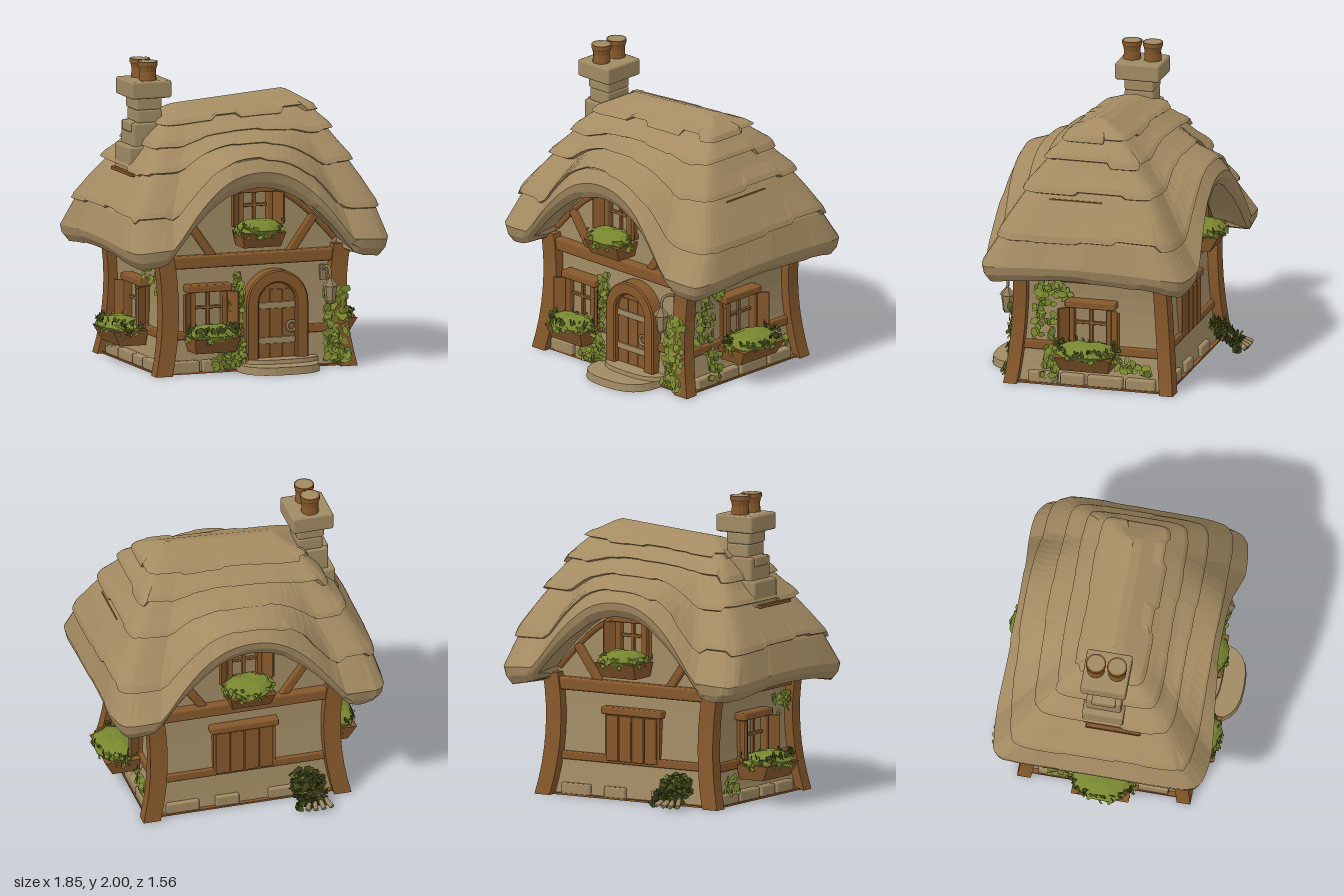
import * as THREE from 'three';
import { mergeGeometries } from 'three/addons/utils/BufferGeometryUtils.js';
import { RoundedBoxGeometry } from 'three/addons/geometries/RoundedBoxGeometry.js';

const material = (name, color, double) => {
  const m = new THREE.MeshStandardMaterial({ color });
  m.name = name;
  if (double) m.side = THREE.DoubleSide;
  return m;
};

export function createModel() {
  const M = {
    thatch: material('thatch', 0xa48b62, true), plaster: material('plaster', 0xa18b64),
    timber: material('timber', 0x86582b), stone: material('stone', 0xa08a63),
    leaf: material('leaf', 0x78862f, true), darkLeaf: material('darkLeaf', 0x464d1b, true),
    glass: material('glass', 0x9c8660), iron: material('iron', 0x8f7c5a),
  };
  const house = new THREE.Group();
  house.name = 'cottage';

  let seed = 11;
  const rnd = () => {
    seed = (seed * 1664525 + 1013904223) % 4294967296;
    return seed / 4294967296;
  };
  const span = (a, b) => a + (b - a) * rnd();
  const flat = (g) => {
    const f = g.index ? g.toNonIndexed() : g;
    f.computeVertexNormals();
    return f;
  };
  const add = (parent, name, geo, mat, x = 0, y = 0, z = 0) => {
    const m = new THREE.Mesh(geo, mat);
    m.name = name;
    m.position.set(x, y, z);
    parent.add(m);
    return m;
  };
  const box = (parent, name, w, h, d, mat, x, y, z) => add(parent, name, new THREE.BoxGeometry(w, h, d), mat, x, y, z);
  const block = (parent, name, w, h, d, mat, x, y, z) =>
    add(parent, name, new RoundedBoxGeometry(w, h, d, 1, Math.min(w, h, d) * 0.2), mat, x, y, z);
  const beam = (parent, name, w, h, d, x, y, z) => block(parent, name, w, h, d, M.timber, x, y, z);
  const warp = (g, rule) => {
    const p = g.attributes.position, v = new THREE.Vector3();
    for (let i = 0; i < p.count; i++) {
      rule(v.fromBufferAttribute(p, i));
      p.setXYZ(i, v.x, v.y, v.z);
    }
    return flat(g);
  };
  const foliage = (parent, name, mat, n, size, place) => {
    const leaves = [];
    for (let i = 0; i < n; i++) {
      const g = new THREE.CircleGeometry(size * span(0.7, 1.2), 5);
      g.scale(1, 0.75, 1).rotateZ(rnd() * 6).rotateX(span(-0.8, 0.3)).rotateY(span(-0.7, 0.6));
      leaves.push(g.translate(...place()));
    }
    return add(parent, name, mergeGeometries(leaves), mat);
  };

  // Flared walls and corner posts
  const flareX = (y) => 0.585 + 0.06 * ((y - 0.46) / 0.46) ** 2;
  const flareZ = (y) => 0.455 + 0.055 * (Math.max(0, 0.78 - y) / 0.78) ** 1.8;
  add(house, 'walls', warp(new THREE.BoxGeometry(2, 0.8, 2, 1, 8, 1), (v) => {
    v.y += 0.41;
    v.x *= flareX(v.y) - 0.005;
    v.z *= flareZ(v.y) - 0.005;
  }), M.plaster);
  box(house, 'basePlate', 1.34, 0.012, 1.06, M.timber, 0, 0.008, 0);
  for (const sx of [-1, 1]) for (const sz of [-1, 1]) {
    add(house, 'cornerPost', warp(new THREE.BoxGeometry(0.115, 0.8, 0.09, 1, 8, 1), (v) => {
      v.y += 0.4;
      v.x += sx * flareX(v.y);
      v.z += sz * (flareZ(v.y) + 0.017);
    }), M.timber);
  }

  // Arched gable wall running through the house
  const bell = (x) => Math.max(0, 1 - (x / 0.66) ** 2) ** 1.2;
  const gable = new THREE.Shape([new THREE.Vector2(-0.62, 0.7), new THREE.Vector2(0.62, 0.7)]);
  for (let i = 0; i <= 24; i++) {
    const x = 0.62 - (i / 24) * 1.24;
    gable.lineTo(x, 0.8 + 0.46 * bell(x));
  }
  add(house, 'gableWall', new THREE.ExtrudeGeometry(gable, { depth: 0.9, bevelEnabled: false }), M.plaster, 0, 0, -0.45);

  // Horizontal beams, braces, soffits and arch trim
  for (const s of [-1, 1]) {
    beam(house, 'crossBeam', 1.2, 0.085, 0.09, 0, 0.73, s * 0.46);
    beam(house, 'sideBeam', 0.07, 0.08, 0.9, s * 0.605, 0.735, 0);
    beam(house, 'sideSoffit', 0.15, 0.03, 0.92, s * 0.665, 0.79, 0);
    beam(house, 'sideRail', 0.05, 0.06, 0.94, s * 0.59, 0.25, 0);
    beam(house, 'roofBatten', 0.03, 0.022, 0.36, s * 0.738, 1.285, 0.07);
    for (const t of [-1, 1]) {
      beam(house, 'gableBrace', 0.055, 0.3, 0.06, t * 0.35, 0.87, s * 0.455).rotation.z = -t * 0.62;
    }
    const arch = [];
    for (let i = 0; i <= 14; i++) {
      const x = -0.58 + (i / 14) * 1.16;
      arch.push(new THREE.Vector3(x, 0.755 + 0.46 * bell(x), s * 0.455));
    }
    add(house, 'archTrim', new THREE.TubeGeometry(new THREE.CatmullRomCurve3(arch), 28, 0.02, 5), M.timber);
  }
  beam(house, 'frontRail', 0.55, 0.055, 0.05, -0.32, 0.25, 0.472);
  beam(house, 'frontRail', 0.25, 0.055, 0.05, 0.47, 0.25, 0.472);
  beam(house, 'backRail', 1.16, 0.055, 0.05, 0, 0.26, -0.472);

  // Thatched roof: rings on a rounded rectangle, lifted into an arch at front and back
  const P = { // half width, half depth, height; arch height and depth
    a: [0.89, 0.915, 0.86, 0.785, 0.71, 0.605, 0.52, 0.4], b: [0.68, 0.7, 0.58, 0.5, 0.43, 0.31, 0.2, 0.06],
    y: [0.78, 0.87, 1.05, 1.19, 1.32, 1.5, 1.63, 1.72],
    cy: [1.22, 1.32, 1.4, 1.44, 1.48, 1.55, 1.63, 1.72], cz: [0.63, 0.655, 0.6, 0.52, 0.43, 0.31, 0.2, 0.06],
  };
  const at = (k, s) => {
    const i = Math.min(6, Math.floor(s));
    return THREE.MathUtils.lerp(P[k][i], P[k][i + 1], s - i);
  };
  // The arch narrows and gets steeper sides towards the ridge
  const dormer = (x, s) => Math.max(0, 1 - Math.abs(x / (0.67 - 0.045 * s)) ** (2 + 0.25 * s)) ** 1.2;
  const side = 32, cols = side * 4;
  const square = (i) => {
    const t = ((i % side) / side) * 2 - 1;
    return [[t, 1], [1, -t], [-t, -1], [-1, t]][Math.floor(i / side) % 4];
  };
  const roofPoint = (i, s, push) => {
    const [p, q] = square(i), round = 1 - 0.065 * (p * q) ** 8;
    const x = (at('a', s) + push) * p * round;
    const w = dormer(x, s) * q * q, sag = 0.06 * p * p * q * q * Math.max(0, 1 - s / 3);
    const y = THREE.MathUtils.lerp(at('y', s) - sag, at('cy', s), w) + push * 0.4 + 0.07 * x * (s / 7) ** 2;
    const z = THREE.MathUtils.lerp((at('b', s) + push) * q * round, (at('cz', s) + push) * Math.sign(q), w);
    return [x + 0.03 * (s / 7) ** 2, y, z - (q < 0 ? 0.03 * (1 - s / 7) : 0)];
  };
  const clumps = (endScale) => { // ragged edge offsets, shared by a few neighbouring columns
    const out = [];
    while (out.length < cols) {
      const v = rnd(), end = Math.floor(out.length / side) % 2;
      const n = Math.round(span(3, 7) * (end ? endScale : 1));
      for (let k = 0; k < n; k++) out.push(v);
    }
    return out;
  };
  const loft = (name, rings) => {
    const pos = [], idx = [];
    for (const ring of rings) for (let i = 0; i < cols; i++) pos.push(...ring(i));
    for (let r = 0; r < rings.length - 1; r++) for (let i = 0; i < cols; i++) {
      const j = (i + 1) % cols, a = r * cols, b = a + cols;
      idx.push(a + i, a + j, b + j, a + i, b + j, b + i);
    }
    const g = new THREE.BufferGeometry();
    g.setAttribute('position', new THREE.Float32BufferAttribute(pos, 3));
    g.setIndex(idx);
    add(house, name, flat(g), M.thatch);
  };
  const rag = clumps(1.3);
  loft('eaveThatch', [
    (i) => {
      const [x, y, z] = roofPoint(i, 0, 0);
      return [THREE.MathUtils.clamp(x, -0.6, 0.6), y + 0.03, THREE.MathUtils.clamp(z, -0.44, 0.44)];
    },
    (i) => roofPoint(i, rag[i] * 0.15, -0.015),
    (i) => roofPoint(i, 0.35 + rag[i] * 0.2, rag[i] * 0.015),
    (i) => roofPoint(i, 1, rag[i] * 0.012),
    (i) => roofPoint(i, 2, 0.005), (i) => roofPoint(i, 2.7, 0),
  ]);
  for (const [s0, s1, endScale] of [[1.85, 4.1, 1.5], [3.7, 5.2, 2], [4.75, 6.2, 3], [5.8, 7, 5]]) {
    const e = clumps(endScale);
    const rings = [
      (i) => roofPoint(i, s0 + e[i] * 0.35, -0.02),
      (i) => roofPoint(i, s0 + e[i] * 0.35, 0.018 + e[i] * 0.015),
      (i) => roofPoint(i, s0 + 0.25 + e[i] * 0.25, 0.022 + e[i] * 0.01),
      (i) => roofPoint(i, (s0 + s1) / 2 + 0.1, 0.012),
      (i) => roofPoint(i, s1, 0),
    ];
    if (s1 === 7) rings.push((i) => {
      const [x, y] = roofPoint(i, 7, 0);
      return [x * 0.9, y + 0.015, 0];
    });
    loft('thatchLayer', rings);
  }

  // Stone chimney with two capped pots
  const chimney = new THREE.Group();
  chimney.name = 'chimney';
  house.add(chimney);
  for (const [w, h, d, x, y] of [[0.24, 0.3, 0.27, -0.6, 1.3], [0.19, 0.16, 0.23, -0.585, 1.52],
    [0.1, 0.07, 0.16, -0.64, 1.57], [0.17, 0.09, 0.2, -0.56, 1.64], [0.18, 0.1, 0.2, -0.565, 1.73], [0.28, 0.115, 0.3, -0.565, 1.82]]) {
    add(chimney, 'chimneyStone', new RoundedBoxGeometry(w, h, d, 1, 0.015), M.stone, x, y, -0.005);
  }
  const pot = [[0.058, 0], [0.054, 0.06], [0.06, 0.09], [0.066, 0.1], [0.066, 0.125], [0.055, 0.125]];
  for (const z of [-0.075, 0.065]) {
    add(chimney, 'chimneyPot', flat(new THREE.LatheGeometry(pot.map((p) => new THREE.Vector2(...p)), 14)), M.timber, -0.565, 1.875, z);
    add(chimney, 'potCap', new THREE.CylinderGeometry(0.056, 0.056, 0.006, 14), M.stone, -0.565, 1.996, z);
  }

  // Windows with shutters and planters; local +z faces outward
  const makeWindow = (name, x, y, z, ry, w, h, boxW, boxD, darkCount) => {
    const g = new THREE.Group();
    g.name = name;
    g.position.set(x, y, z);
    g.rotation.y = ry;
    house.add(g);
    box(g, 'pane', w, h, 0.02, M.glass, 0, 0, 0.005);
    beam(g, 'lintel', w + 0.09, 0.05, 0.09, 0, h / 2 + 0.015, 0.03);
    beam(g, 'sill', w + 0.06, 0.04, 0.09, 0, -h / 2, 0.03);
    beam(g, 'mullion', 0.022, h, 0.03, 0, 0, 0.02);
    beam(g, 'glazingBar', w, 0.02, 0.03, 0, h * 0.08, 0.02);
    for (const s of [-1, 1]) {
      beam(g, 'frameSide', 0.035, h, 0.07, s * w / 2, 0, 0.025);
      beam(g, 'shutter', 0.1, h * 0.92, 0.022, s * (w / 2 + 0.048), 0, 0.065).rotation.y = -s * 0.85;
    }
    const zc = 0.02 + boxD / 2, yc = -h / 2 - 0.06;
    add(g, 'planter', warp(new THREE.BoxGeometry(boxW, 0.1, boxD), (v) => {
      if (v.y < 0) { v.x *= 0.86; v.z = v.z * 0.75 - boxD * 0.1; }
    }), M.timber, 0, yc - 0.015, zc);
    add(g, 'plantMound', warp(new THREE.SphereGeometry(1, 14, 8), (v) => {
      const k = 1 + 0.1 * Math.sin(v.x * 9 + v.z * 5) * Math.cos(v.y * 6);
      v.set(Math.sign(v.x) * Math.abs(v.x) ** 0.8 * k * boxW * 0.52, v.y * k * 0.065, v.z * k * boxD * 0.58);
    }), M.leaf, 0, yc + 0.05, zc);
    const rim = (low, high) => () => {
      const t = rnd() * 6.283, r = span(0.88, 1.1);
      return [Math.cos(t) * r * boxW * 0.52, yc + span(low, high), zc + Math.sin(t) * r * boxD * 0.56];
    };
    foliage(g, 'plantLeaves', M.leaf, 60, 0.022, rim(0.005, 0.07));
    foliage(g, 'plantShadowLeaves', M.darkLeaf, darkCount, 0.02, rim(0.06, 0.11));
  };
  makeWindow('frontWindow', -0.315, 0.41, 0.468, 0, 0.22, 0.27, 0.32, 0.2, 60);
  makeWindow('rightWindow', -0.59, 0.41, 0, -Math.PI / 2, 0.25, 0.27, 0.38, 0.24, 70);
  makeWindow('leftWindow', 0.59, 0.41, 0, Math.PI / 2, 0.25, 0.27, 0.38, 0.24, 70);
  makeWindow('frontGableWindow', 0.015, 1.065, 0.455, 0, 0.2, 0.23, 0.3, 0.2, 6);
  makeWindow('backGableWindow', 0, 1.065, -0.455, Math.PI, 0.2, 0.23, 0.3, 0.24, 6);

  // Closed shutters on the back wall
  box(house, 'backFrame', 0.42, 0.34, 0.04, M.timber, 0, 0.41, -0.475);
  beam(house, 'backLintel', 0.46, 0.05, 0.07, 0, 0.58, -0.48);
  for (let i = 0; i < 4; i++) beam(house, 'backShutterPlank', 0.09, 0.3, 0.03, -0.147 + i * 0.098, 0.4, -0.495);

  // Arched front door
  const archShape = (Type, r, y0, y1) => {
    const s = new Type();
    s.moveTo(-r, y0);
    s.lineTo(r, y0);
    s.lineTo(r, y1);
    s.absarc(0, y1, r, 0, Math.PI, false);
    return s;
  };
  const frame = archShape(THREE.Shape, 0.205, 0.05, 0.44);
  frame.holes.push(archShape(THREE.Path, 0.14, 0.05, 0.44));
  const bevel = { depth: 0.09, bevelThickness: 0.01, bevelSize: 0.01, bevelSegments: 1, curveSegments: 10 };
  add(house, 'doorFrame', new THREE.ExtrudeGeometry(frame, bevel), M.timber, 0.155, 0, 0.45);
  add(house, 'door', new THREE.ExtrudeGeometry(archShape(THREE.Shape, 0.145, 0.05, 0.44), { depth: 0.05, bevelEnabled: false }), M.timber, 0.155, 0, 0.455);
  for (let i = 0; i < 3; i++) beam(house, 'doorPlank', 0.086, 0.45, 0.012, 0.067 + i * 0.088, 0.3, 0.505);
  for (const y of [0.19, 0.42]) block(house, 'doorHinge', 0.27, 0.042, 0.014, M.stone, 0.155, y, 0.513);
  add(house, 'doorRing', new THREE.TorusGeometry(0.032, 0.01, 6, 14), M.iron, 0.26, 0.28, 0.525);

  // Rounded doorstep and foundation stones
  const soften = (v) => Math.sign(v) * Math.abs(v) ** 0.75;
  const step = (rx, rz, h, x, y, z) => add(house, 'doorStep', warp(new THREE.CylinderGeometry(0.97, 1, h, 24), (v) => {
    v.x = soften(v.x) * rx;
    v.z = soften(v.z) * rz;
  }), M.stone, x, y, z);
  step(0.275, 0.25, 0.05, 0.15, 0.025, 0.53);
  step(0.26, 0.15, 0.03, 0.19, 0.062, 0.48);
  for (const [x, w] of [[-0.48, 0.2], [-0.28, 0.16]]) block(house, 'foundationStone', w, 0.085, 0.06, M.stone, x, 0.045, 0.5);
  for (const [x, w] of [[0.42, 0.22], [0.12, 0.16], [-0.25, 0.18]]) block(house, 'foundationStone', w, 0.075, 0.05, M.stone, x, 0.045, -0.5);
  for (const s of [-1, 1]) for (const [z, w] of [[-0.34, 0.2], [-0.1, 0.24], [0.12, 0.16], [0.32, 0.2]]) {
    block(house, 'foundationStone', 0.06, 0.075, w, M.stone, s * 0.635, 0.045, z);
  }

  // Hanging lantern
  const lantern = new THREE.Group();
  lantern.name = 'lantern';
  lantern.position.set(0.5, 0, 0.6);
  house.add(lantern);
  const hook = [[0.63, -0.14], [0.66, -0.07], [0.65, -0.01], [0.59, 0]].map(([y, z]) => new THREE.Vector3(0, y, z));
  add(lantern, 'bracket', new THREE.TubeGeometry(new THREE.CatmullRomCurve3(hook), 12, 0.01, 6), M.iron);
  box(lantern, 'bracketPlate', 0.04, 0.1, 0.015, M.iron, 0, 0.61, -0.14);
  add(lantern, 'lanternRoof', flat(new THREE.CylinderGeometry(0.012, 0.055, 0.05, 6)), M.iron, 0, 0.565, 0);
  add(lantern, 'lanternGlass', flat(new THREE.CylinderGeometry(0.045, 0.032, 0.1, 6)), M.glass, 0, 0.49, 0);
  add(lantern, 'lanternBase', flat(new THREE.CylinderGeometry(0.036, 0.026, 0.02, 6)), M.iron, 0, 0.432, 0);

  // Climbing ivy
  foliage(house, 'ivyByDoor', M.leaf, 150, 0.03, () => {
    const y = 0.04 + 0.6 * rnd() ** 1.4;
    return [-0.075 - rnd() * (0.06 + 0.2 * (1 - y / 0.65) ** 1.5), y, flareZ(y) + span(0.02, 0.07)];
  });
  foliage(house, 'ivyByPost', M.leaf, 130, 0.032, () => {
    const y = 0.04 + 0.47 * rnd() ** 1.2;
    return [0.565 + span(-0.08, 0.07), y, flareZ(y) + span(0.05, 0.09)];
  });
  const sideIvy = (s, n, z0, z1, y0, y1) => {
    const g = new THREE.Group();
    g.name = 'sideIvy';
    g.rotation.y = s * Math.PI / 2;
    house.add(g);
    foliage(g, 'ivyLeaves', M.leaf, n, 0.03, () => {
      const y = span(y0, y1);
      return [-s * span(z0, z1), y, flareX(y) + span(0.02, 0.06)];
    });
  };
  sideIvy(1, 40, 0.14, 0.36, 0.58, 0.69);
  sideIvy(1, 45, 0.25, 0.4, 0.28, 0.58);
  sideIvy(1, 30, 0.2, 0.32, 0.04, 0.26);
  sideIvy(1, 22, -0.4, -0.18, 0.11, 0.2);
  sideIvy(-1, 22, 0.2, 0.4, 0.5, 0.68);
  sideIvy(-1, 20, -0.4, -0.2, 0.08, 0.18);

  // Drooping shrub and splayed roots at the back wall
  foliage(house, 'backShrub', M.darkLeaf, 170, 0.032, () => {
    const t = rnd();
    return [-0.41 + span(-0.1, 0.11), Math.max(0.035, 0.18 - 0.14 * t + span(-0.03, 0.03)), -0.52 - 0.21 * t];
  });
  foliage(house, 'shrubTips', M.leaf, 20, 0.022, () => [-0.41 + span(-0.1, 0.11), span(0.15, 0.21), span(-0.6, -0.53)]);
  for (let i = 0; i < 4; i++) {
    const root = add(house, 'shrubRoot', new THREE.CylinderGeometry(0.012, 0.018, 0.2, 5), M.stone, -0.48 + i * 0.03, 0.075, -0.68);
    root.rotation.set(1.1, 0, (i - 1.5) * 0.25);
  }
  return house;
}
